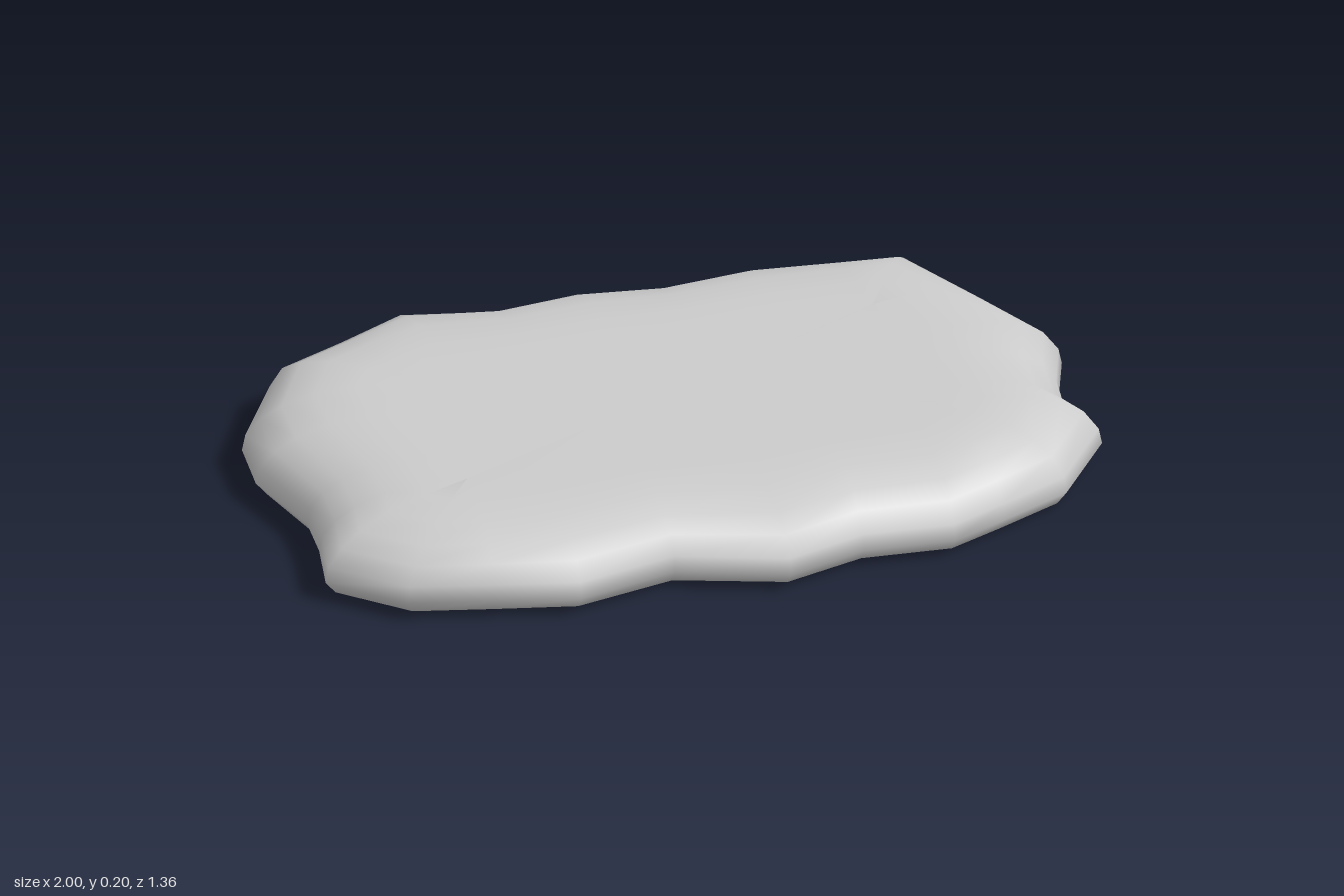
import * as THREE from 'three';

// Widest outline of the slab (x, z), starting at the back and running towards +x
const OUTLINE = [
  [-0.48, -0.68], [-0.26, -0.62], [-0.05, -0.64], [0.14, -0.6], [0.37, -0.62], [0.57, -0.585], [0.76, -0.56],
  [0.89, -0.3], [1, -0.09], [0.95, 0.05], [0.93, 0.19], [0.98, 0.3], [0.83, 0.5], [0.65, 0.58],
  [0.51, 0.64], [0.29, 0.62], [0.09, 0.68], [-0.17, 0.585], [-0.42, 0.64], [-0.62, 0.59], [-0.82, 0.54],
  [-0.98, 0.39], [-0.95, 0.24], [-0.94, 0.11], [-1, -0.11], [-0.985, -0.27], [-0.85, -0.51], [-0.66, -0.59],
];

// Edge profile from underside to top: [reach from the core, height]
const PROFILE = [
  [0.3, 0.004], [0.72, 0.006], [0.93, 0.014], [1, 0.05], [0.98, 0.09],
  [0.89, 0.135], [0.76, 0.165], [0.56, 0.188], [0.3, 0.195], [0, 0.194],
];

const clamp = THREE.MathUtils.clamp;

function slabGeometry() {
  const n = OUTLINE.length;
  const positions = [];
  const index = [];

  // Each ring shrinks the outline towards a flat rectangular core
  for (const [reach, height] of PROFILE) {
    for (const [x, z] of OUTLINE) {
      const cx = clamp(x, -0.58, 0.58);
      const cz = clamp(z, -0.24, 0.24);
      const tilt = height > 0.12 ? 0.007 * x - 0.003 * z : 0;
      // The back rim juts out lower down than the front
      const drop = z < -0.5 && height > 0.03 && height < 0.1 ? 0.02 : 0;
      positions.push(cx + (x - cx) * reach, height + tilt - drop, cz + (z - cz) * reach);
    }
  }
  for (let r = 0; r < PROFILE.length - 1; r++) {
    for (let j = 0; j < n; j++) {
      const k = (j + 1) % n;
      const a = r * n + j, b = r * n + k, c = a + n, d = b + n;
      index.push(a, c, b, b, c, d);
    }
  }

  // Underside and top centres
  const bottom = positions.length / 3;
  const last = (PROFILE.length - 1) * n;
  positions.push(0, 0.002, 0, 0, 0.19, 0);
  for (let j = 0; j < n; j++) {
    const k = (j + 1) % n;
    index.push(bottom, j, k);
    index.push(bottom + 1, last + k, last + j);
  }

  const geometry = new THREE.BufferGeometry();
  geometry.setAttribute('position', new THREE.Float32BufferAttribute(positions, 3));
  geometry.setIndex(index);
  geometry.computeVertexNormals();
  return geometry;
}

export function createModel() {
  const group = new THREE.Group();
  group.name = 'flatStone';
  const slab = new THREE.Mesh(slabGeometry(), new THREE.MeshStandardMaterial({ color: 0xcccccc }));
  slab.name = 'stoneSlab';
  group.add(slab);
  return group;
}
